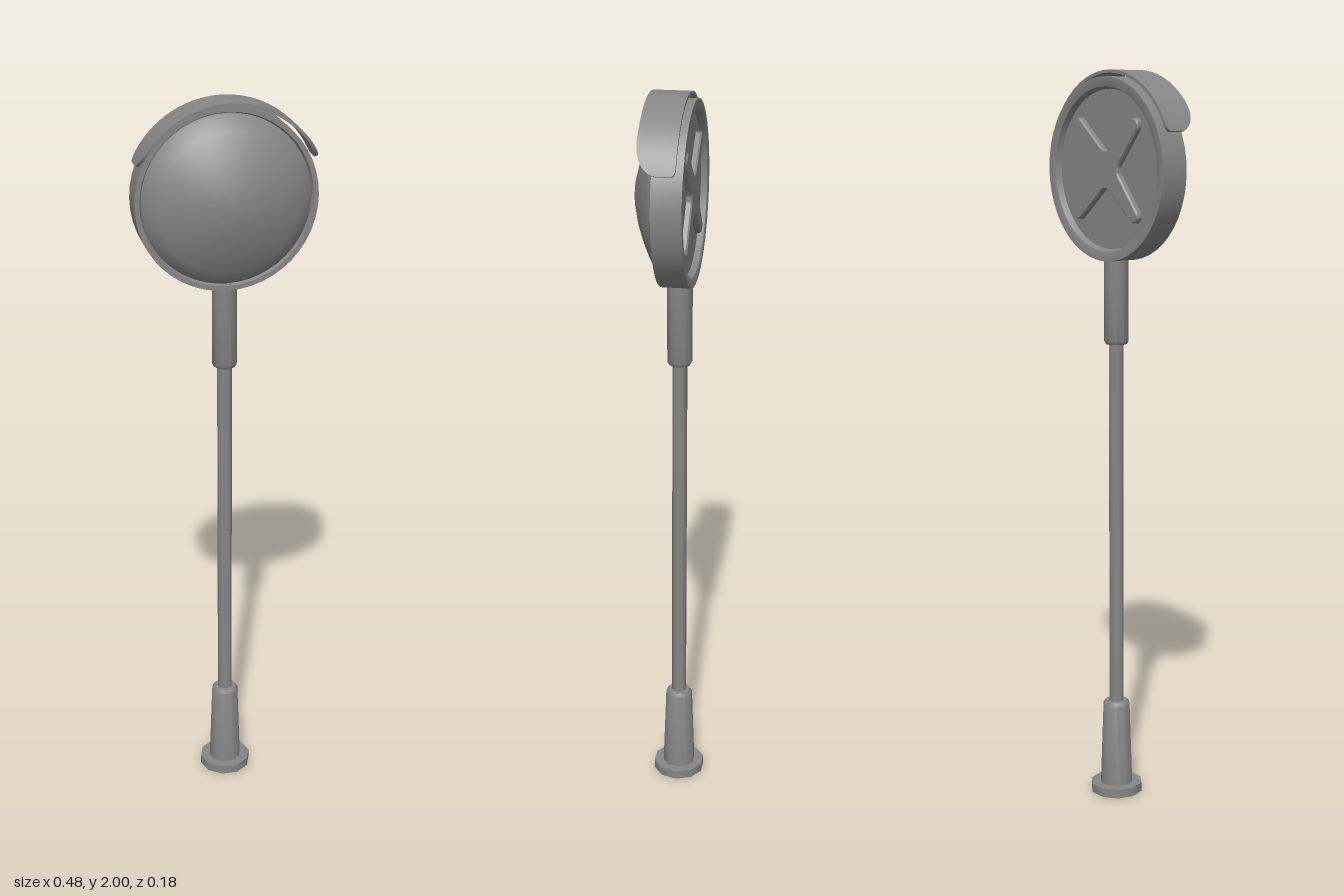
import * as THREE from 'three';
import { toCreasedNormals } from 'three/addons/utils/BufferGeometryUtils.js';

const AXIS_Z = -0.023; // depth of the pole axis
const HEAD_Y = 1.743;  // height of the mirror centre
const material = new THREE.MeshStandardMaterial({ color: 0x868686 });

function part(name, geometry, y = 0, z = 0) {
  const mesh = new THREE.Mesh(geometry, material);
  mesh.name = name;
  mesh.position.set(0, y, z);
  return mesh;
}

function lathe(profile, sides) {
  return new THREE.LatheGeometry(profile.map(([r, h]) => new THREE.Vector2(r, h)), sides, Math.PI / 2);
}

// Upright turned part on the pole axis
const turned = (name, profile) =>
  part(name, toCreasedNormals(lathe(profile, 10), 0.68), 0, AXIS_Z);

// Turned part whose axis points to the front
const round = (name, profile, crease) =>
  part(name, toCreasedNormals(lathe(profile, 48).rotateX(Math.PI / 2), crease), HEAD_Y);

// Curved hood with rounded lower corners, swept over the top of the rim
function visorGeometry() {
  const inner = 0.249, outer = 0.257, end = 23.4, steps = 36;
  const positions = [], index = [];
  const ease = (d, reach) => {
    const t = Math.min(d / reach, 1);
    return Math.sqrt(1 - (1 - t) * (1 - t));
  };
  for (let i = 0; i <= steps; i++) {
    // Columns are packed closer near the rounded ends
    const deg = 90 - (90 - end) * Math.cos(Math.PI * i / steps);
    const d = Math.min(deg - end, 180 - end - deg);
    const a = THREE.MathUtils.degToRad(deg);
    const front = 0.054 * ease(d, 19);
    const back = -0.035 - 0.012 * ease(d, 4);
    for (const [r, z] of [[inner, back], [outer, back], [outer, front], [inner, front]]) {
      positions.push(r * Math.cos(a), r * Math.sin(a), z);
    }
    if (i === steps) continue;
    for (let k = 0; k < 4; k++) {
      const p = i * 4 + k, q = i * 4 + (k + 1) % 4;
      index.push(p, p + 4, q + 4, p, q + 4, q);
    }
  }
  const e = steps * 4;
  index.push(0, 1, 2, 0, 2, 3, e, e + 2, e + 1, e, e + 3, e + 2);
  const geometry = new THREE.BufferGeometry();
  geometry.setAttribute('position', new THREE.Float32BufferAttribute(positions, 3));
  geometry.setIndex(index);
  return toCreasedNormals(geometry, 0.6);
}

// Four tapered arms with rounded tips and soft inner corners
function crossGeometry() {
  const shape = new THREE.Shape();
  const reach = 0.165, half = 0.014, root = 0.06, rootHalf = 0.024, valley = 0.034;
  for (let i = 0; i < 4; i++) {
    const a = Math.PI / 4 + i * Math.PI / 2;
    // Point at u along and v across an arm that points at the given angle
    const at = (u, v, angle = a) => [
      u * Math.cos(angle) - v * Math.sin(angle), u * Math.sin(angle) + v * Math.cos(angle)];
    const b = a + Math.PI / 2;
    if (i === 0) shape.moveTo(...at(reach, -half));
    shape.bezierCurveTo(...at(reach + 0.018, -half), ...at(reach + 0.018, half), ...at(reach, half));
    shape.lineTo(...at(root, rootHalf));
    shape.quadraticCurveTo(...at(valley, 0, a + Math.PI / 4), ...at(root, -rootHalf, b));
    shape.lineTo(...at(reach, -half, b));
  }
  const geometry = new THREE.ExtrudeGeometry(shape, {
    depth: 0.012, curveSegments: 8, bevelEnabled: true,
    bevelThickness: 0.004, bevelSize: 0.004, bevelSegments: 1,
  });
  return toCreasedNormals(geometry, 0.6);
}

export function createModel() {
  const model = new THREE.Group();
  model.name = 'convexMirrorOnPole';

  // Stand
  model.add(
    turned('baseFlange', [[0, 0], [0.073, 0], [0.073, 0.025], [0, 0.025]]),
    turned('baseSleeve', [[0.046, 0.024], [0.038, 0.257], [0.032, 0.267], [0, 0.267]]),
    turned('pole', [[0.0205, 0.26], [0.0205, 1.3]]),
    turned('upperSleeve', [[0, 1.279], [0.029, 1.279], [0.034, 1.287], [0.034, 1.52]]),
  );

  // Housing with a recessed back panel and a front lip
  model.add(round('mirrorHousing', [
    [0, -0.046], [0.208, -0.046], [0.214, -0.062], [0.219, -0.064], [0.24, -0.064],
    [0.24, 0.014], [0.227, 0.014], [0.223, 0.004], [0, 0.004],
  ], 0.6));

  // Domed mirror face
  model.add(round('mirrorDome', [
    [0.223, 0.004], [0.22, 0.012], [0.185, 0.034], [0.145, 0.054],
    [0.1, 0.072], [0.05, 0.086], [0, 0.091],
  ], 1.0));

  // Hood and back rib
  model.add(
    part('visor', visorGeometry(), HEAD_Y),
    part('backCrossRib', crossGeometry(), HEAD_Y, -0.058),
  );
  return model;
}
